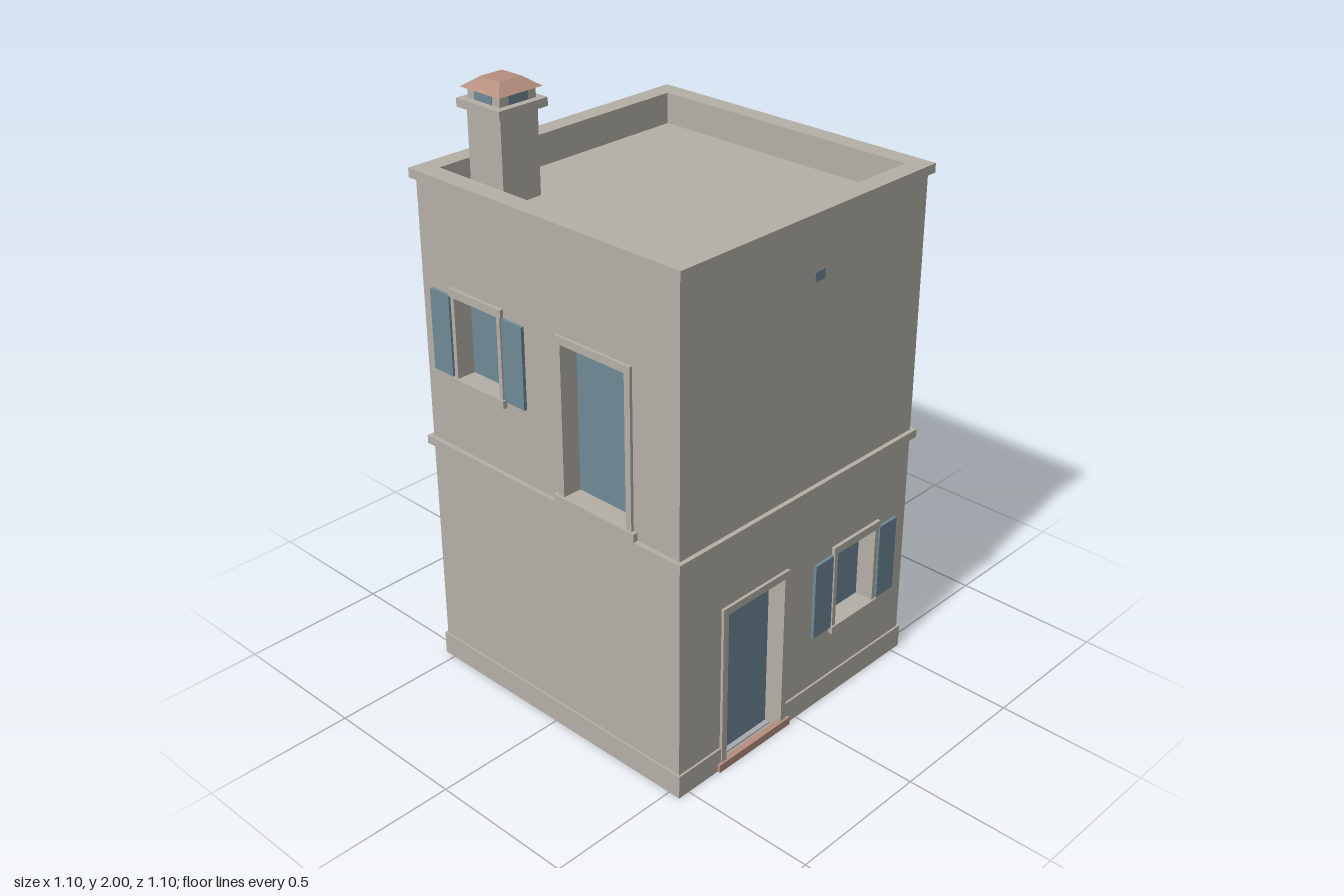
import * as THREE from 'three';

const HALF = 0.535; // half width of the walls

export function createModel() {
  const house = new THREE.Group();
  house.name = 'house';

  const mat = (name, color, side = THREE.FrontSide) => {
    const m = new THREE.MeshStandardMaterial({ color, side });
    m.name = name;
    return m;
  };
  const plaster = mat('plaster', 0xb5b1a8, THREE.DoubleSide);
  const bluePaint = mat('bluePaint', 0x6f8a97, THREE.DoubleSide);
  const clay = mat('clay', 0xb58f7f);

  const add = (parent, name, geometry, material, x = 0, y = 0, z = 0) => {
    const mesh = new THREE.Mesh(geometry, material);
    mesh.name = name;
    mesh.position.set(x, y, z);
    parent.add(mesh);
    return mesh;
  };
  // Box given by its lower and upper limits
  const box = (parent, name, material, x0, x1, y0, y1, z0, z1) =>
    add(parent, name, new THREE.BoxGeometry(x1 - x0, y1 - y0, z1 - z0), material,
      (x0 + x1) / 2, (y0 + y1) / 2, (z0 + z1) / 2);

  const rect = (x0, x1, y0, y1, Type = THREE.Shape) => {
    const s = new Type();
    s.moveTo(x0, y0);
    s.lineTo(x1, y0);
    s.lineTo(x1, y1);
    s.lineTo(x0, y1);
    s.closePath();
    return s;
  };

  // Square ring lying flat around the house
  const ring = (name, outer, inner, y0, y1) => {
    const s = rect(-outer, outer, -outer, outer);
    s.holes.push(rect(-inner, inner, -inner, inner, THREE.Path));
    const g = new THREE.ExtrudeGeometry(s, { depth: y1 - y0, bevelEnabled: false });
    g.rotateX(-Math.PI / 2);
    add(house, name, g, plaster, 0, y0, 0);
  };

  const GLASS_Z = 0.48, FRAME_Z = 0.545;

  // Window with surround, lintel, sill and two shutters; y is the opening's bottom
  const addWindow = (side, u, y) => {
    const g = new THREE.Group();
    g.name = 'window';
    g.position.set(u, y, 0);
    side.add(g);
    const w = 0.095, h = 0.27;
    const s = rect(-w - 0.015, w + 0.015, -0.015, h + 0.015);
    s.holes.push(rect(-w, w, 0, h, THREE.Path));
    add(g, 'windowFrame', new THREE.ExtrudeGeometry(s,
      { depth: FRAME_Z - 0.475, bevelEnabled: false }), plaster, 0, 0, 0.475);
    add(g, 'windowPane', new THREE.PlaneGeometry(2 * w, h), bluePaint, 0, h / 2, GLASS_Z);
    box(g, 'lintel', plaster, -0.116, 0.116, h, h + 0.027, 0.53, 0.547);
    box(g, 'sill', plaster, -0.116, 0.116, -0.025, 0, 0.53, 0.551);
    for (const k of [-1, 1]) {
      const c = k * 0.161;
      box(g, 'shutter', bluePaint, c - 0.043, c + 0.043, 0, h, 0.534, 0.546);
    }
  };

  // Recessed door with a three-sided surround and a threshold
  const addDoor = (side, u, y0, y1, stepMaterial, step0, step1) => {
    const g = new THREE.Group();
    g.name = 'door';
    g.position.x = u;
    side.add(g);
    const w = 0.128, o = 0.15, top = y1 + 0.025;
    const s = new THREE.Shape([[-o, y0], [-w, y0], [-w, y1], [w, y1], [w, y0],
      [o, y0], [o, top], [-o, top]].map(p => new THREE.Vector2(...p)));
    add(g, 'doorFrame', new THREE.ExtrudeGeometry(s,
      { depth: FRAME_Z - 0.475, bevelEnabled: false }), plaster, 0, 0, 0.475);
    add(g, 'doorPanel', new THREE.PlaneGeometry(2 * w, y1 - y0), bluePaint,
      0, (y0 + y1) / 2, GLASS_Z);
    box(g, 'threshold', stepMaterial, -0.165, 0.165, step0, step1,
      y0 > 0 ? 0.475 : 0.53, 0.552);
  };

  // Openings per side; u runs to the right as seen from outside
  const LOW = 0.27, HIGH = 1.095;
  const sides = [
    { name: 'frontSide', turn: 0, windows: [[0.275, LOW]], door: -0.205, vent: 0.042 },
    { name: 'leftSide', turn: Math.PI / 2, windows: [[0.277, HIGH], [0, LOW]], balcony: -0.205 },
    { name: 'backSide', turn: Math.PI, windows: [[-0.285, LOW], [0, HIGH]], door: 0.205, vent: 0.042 },
    { name: 'rightSide', turn: -Math.PI / 2, windows: [[-0.288, HIGH]], balcony: 0.205 },
  ];

  for (const { name, turn, windows, door, balcony, vent } of sides) {
    const side = new THREE.Group();
    side.name = name;
    side.rotation.y = turn;
    house.add(side);

    // Wall sheet, notched for a ground door and cut out for the other openings
    const wall = new THREE.Shape();
    wall.moveTo(-HALF, 0);
    if (door !== undefined) {
      wall.lineTo(door - 0.13, 0);
      wall.lineTo(door - 0.13, 0.567);
      wall.lineTo(door + 0.13, 0.567);
      wall.lineTo(door + 0.13, 0);
    }
    wall.lineTo(HALF, 0);
    wall.lineTo(HALF, 1.72);
    wall.lineTo(-HALF, 1.72);
    wall.closePath();
    for (const [u, y] of windows) {
      wall.holes.push(rect(u - 0.097, u + 0.097, y - 0.002, y + 0.272, THREE.Path));
      addWindow(side, u, y);
    }
    if (balcony !== undefined) {
      wall.holes.push(rect(balcony - 0.13, balcony + 0.13, 0.85, 1.367, THREE.Path));
      addDoor(side, balcony, 0.85, 1.365, plaster, 0.838, 0.865);
    }
    add(side, 'wall', new THREE.ShapeGeometry(wall), plaster, 0, 0, HALF);

    // Plinth, interrupted by the door surround
    const runs = [[-0.542, 0.542]];
    if (door !== undefined) {
      addDoor(side, door, 0, 0.565, clay, 0, 0.028);
      runs.splice(0, 1, [-0.542, door - 0.15], [door + 0.15, 0.542]);
    }
    for (const [a, b] of runs) box(side, 'plinth', plaster, a, b, 0, 0.08, 0.532, 0.542);

    if (vent !== undefined)
      box(side, 'vent', bluePaint, vent - 0.022, vent + 0.022, 1.515, 1.547, 0.532, 0.537);
  }

  // Floor band, parapet, coping and roof deck
  ring('floorBand', 0.55, 0.53, 0.81, 0.838);
  ring('parapet', 0.533, 0.485, 1.63, 1.706);
  ring('coping', 0.55, 0.485, 1.705, 1.735);
  const deck = add(house, 'roofDeck', new THREE.PlaneGeometry(1.06, 1.06), plaster, 0, 1.631, 0);
  deck.rotation.x = -Math.PI / 2;

  // Chimney with slab, vented head and hipped cap
  const chimney = new THREE.Group();
  chimney.name = 'chimney';
  chimney.position.set(-0.325, 0, -0.377);
  house.add(chimney);
  const block = (name, r, y0, y1) => box(chimney, name, plaster, -r, r, y0, y1, -r, r);
  block('chimneyStack', 0.073, 1.631, 1.91);
  block('chimneySlab', 0.094, 1.908, 1.935);
  block('chimneyHead', 0.07, 1.935, 1.972);
  for (let i = 0; i < 4; i++) {
    const face = new THREE.Group();
    face.name = 'chimneyVentSide';
    face.rotation.y = i * Math.PI / 2;
    chimney.add(face);
    box(face, 'chimneyVent', bluePaint, -0.038, 0.038, 1.936, 1.969, 0.068, 0.072);
  }
  const cap = new THREE.CylinderGeometry(0.042 * Math.SQRT2, 0.085 * Math.SQRT2, 0.031, 4).toNonIndexed();
  cap.rotateY(Math.PI / 4);
  cap.computeVertexNormals();
  add(chimney, 'chimneyCap', cap, clay, 0, 1.9845, 0);

  return house;
}
